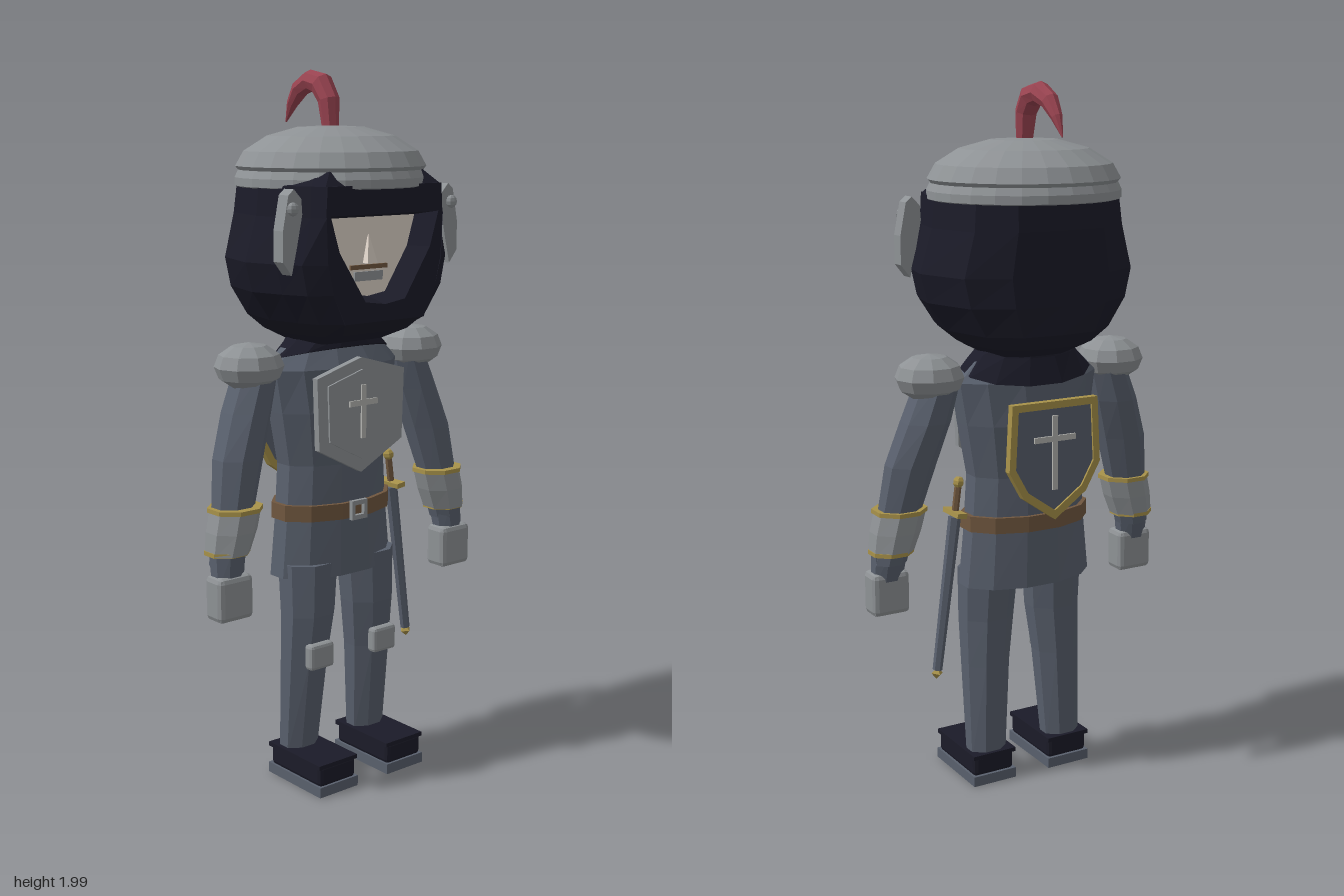
import * as THREE from 'three';
import { RoundedBoxGeometry } from 'three/addons/geometries/RoundedBoxGeometry.js';

const mat = (name, color, side = THREE.FrontSide) => {
  const m = new THREE.MeshStandardMaterial({ color, side, flatShading: true });
  m.name = name;
  return m;
};

// Skin a stack of equal-length rings ([x, y, z] points), optionally capped or with gaps
function loft(rings, { cap = true, skip = () => false } = {}) {
  const n = rings[0].length, pos = rings.flat(2), idx = [];
  for (let r = 0; r < rings.length - 1; r++) for (let i = 0; i < n; i++) {
    if (skip(r, i)) continue;
    const j = (i + 1) % n, a = r * n + i, b = r * n + j;
    idx.push(a, b, b + n, a, b + n, a + n);
  }
  if (cap) {
    const top = (rings.length - 1) * n;
    for (let i = 1; i < n - 1; i++) idx.push(0, i + 1, i, top, top + i, top + i + 1);
  }
  const g = new THREE.BufferGeometry();
  g.setAttribute('position', new THREE.Float32BufferAttribute(pos, 3));
  g.setIndex(idx);
  const flat = g.toNonIndexed();
  flat.computeVertexNormals();
  return flat;
}

// Stack of ellipses, bottom to top: [y, cx, cz, rx, rz, tilt]
function limb(rows, n = 8, opts) {
  return loft(rows.map(([y, cx, cz, rx, rz, tilt = 0]) => Array.from({ length: n }, (_, i) => {
    const a = (i + 0.5) / n * Math.PI * 2, z = rz * Math.cos(a);
    return [cx + rx * Math.sin(a), y + tilt * z, cz + z];
  })), opts);
}

// Flat outline given thickness, back face at z
function plate(points, depth, z, hole) {
  const shape = new THREE.Shape(points.map(p => new THREE.Vector2(...p)));
  if (hole) shape.holes.push(new THREE.Path(hole.map(p => new THREE.Vector2(...p))));
  return new THREE.ExtrudeGeometry(shape, { depth, bevelEnabled: false }).translate(0, 0, z);
}
const mirrored = half => [...half, ...half.filter(p => p[0] > 0.001).reverse().map(([x, y]) => [-x, y])];
const scaled = (pts, k, cy) => pts.map(([x, y]) => [x * k, cy + (y - cy) * k]);

export function createModel() {
  const steel = mat('steel', 0x8e9295), cloth = mat('blue grey armour', 0x59606d);
  const dark = mat('black cloth', 0x1b1b28, THREE.DoubleSide), red = mat('plume red', 0x9a4451);
  const gold = mat('gold', 0xa8924a), leather = mat('leather', 0x70573f);
  const skin = mat('skin', 0xe0d5ca), pale = mat('pale steel', 0xb4b4b0);
  const root = new THREE.Group();
  root.name = 'knight';
  const add = (name, geo, material, x = 0, y = 0, z = 0) => {
    const m = new THREE.Mesh(geo, material);
    m.name = name;
    m.position.set(x, y, z);
    root.add(m);
    return m;
  };
  const box = (w, h, d) => new THREE.BoxGeometry(w, h, d);

  // Hood: rows of [y, front half width, width scale, depth scale, front z]
  const rows = [[1.27, 0.05, 0.4, 0.5, 0.1], [1.30, 0.1, 0.58, 0.8, 0.17], [1.34, 0.14, 0.74, 0.95, 0.225],
    [1.42, 0.18, 0.93, 1, 0.228], [1.5, 0.2, 1, 1, 0.23], [1.62, 0.205, 0.88, 1, 0.23],
    [1.7, 0.2, 0.85, 0.96, 0.22], [1.75, 0.15, 0.65, 0.8, 0.18]];
  const side = [[0.255, 0.19], [0.285, 0.12], [0.31, 0.02], [0.26, -0.14], [0.15, -0.2]];
  const hood = rows.map(([y, fx, sx, sz, fz]) => [[fx, y, fz],
    ...side.map(([x, z]) => [x * sx, y, z * sz]), [0, y, -0.21 * sz],
    ...side.slice().reverse().map(([x, z]) => [-x * sx, y, z * sz]), [-fx, y, fz]]);
  const last = hood[0].length - 1;
  add('hood', loft(hood, { skip: (r, i) => i === last && r >= 2 && r <= 5 }), dark);
  const rim = mirrored([[0, 1.385], [0.07, 1.395], [0.16, 1.53], [0.19, 1.625]]);
  const mask = mirrored(rows.slice(2, 7).map(r => [r[1], r[0]]));
  add('hoodFront', plate(mask, 0.008, 0.22, rim), dark);
  const ringAt = (k, z) => scaled(rim, k, 1.52).map(([x, y]) => [x, y, z]);
  add('faceOpening', loft([ringAt(1, 0.226), ringAt(0.88, 0.15)], { cap: false }), dark);

  // Face inside the opening
  add('face', plate(scaled(rim, 0.92, 1.52), 0.01, 0.145), skin);
  add('nose', new THREE.ConeGeometry(0.025, 0.08, 4).rotateY(Math.PI / 4), skin, 0, 1.53, 0.158);
  add('moustache', box(0.13, 0.012, 0.008), leather, 0, 1.48, 0.158);
  add('chinGuard', box(0.1, 0.025, 0.008), steel, 0, 1.455, 0.156);

  // Helmet
  const dome = [[0, 1.71], [0.262, 1.69], [0.27, 1.693], [0.27, 1.715], [0.26, 1.735], [0.268, 1.745],
    [0.245, 1.785], [0.18, 1.825], [0.095, 1.848], [0, 1.853]].map(p => new THREE.Vector2(...p));
  add('helmet', new THREE.LatheGeometry(dome, 24).scale(1, 1, 0.945), steel);

  // Plume: [y, z, radius] swept backwards
  const plume = [[1.83, 0, 0.022], [1.92, -0.01, 0.03], [1.962, -0.04, 0.033], [1.972, -0.085, 0.03],
    [1.95, -0.135, 0.025], [1.91, -0.17, 0.016], [1.86, -0.198, 0.002]];
  add('plume', loft(plume.map(([y, z, r], k) => {
    const p = plume[Math.max(k - 1, 0)], q = plume[Math.min(k + 1, plume.length - 1)];
    const l = Math.hypot(q[0] - p[0], q[1] - p[1]), ty = (q[0] - p[0]) / l, tz = (q[1] - p[1]) / l;
    return Array.from({ length: 8 }, (_, i) => {
      const a = i / 8 * Math.PI * 2, c = r * Math.cos(a);
      return [r * Math.sin(a), y - tz * c, z + ty * c];
    });
  })), red);

  // Body
  add('collar', limb([[1.225, 0, -0.01, 0.2, 0.115, 0.3], [1.275, 0, 0, 0.15, 0.105, 0.1],
    [1.31, 0, 0, 0.1, 0.1]], 12), dark);
  add('torso', limb([[0.61, 0, 0, 0.205, 0.112], [0.78, 0, 0, 0.188, 0.107], [0.93, 0, 0, 0.178, 0.107],
    [1.08, 0, 0, 0.205, 0.12], [1.2, 0, 0, 0.225, 0.11], [1.255, 0, 0, 0.17, 0.08]], 12), cloth);
  add('belt', limb([[0.775, 0, 0, 0.198, 0.119], [0.82, 0, 0, 0.198, 0.119]], 12), leather);
  add('buckle', plate(mirrored([[0.028, 0.77], [0.028, 0.825]]), 0.012, 0.115,
    mirrored([[0.016, 0.783], [0.016, 0.812]])), steel);

  // Breastplate with cross
  const chest = mirrored([[0, 0.907], [0.15, 0.985], [0.157, 1.185], [0, 1.23]]);
  add('breastplate', plate(chest, 0.02, 0.112), steel);
  add('breastplatePanel', plate(scaled(chest, 0.78, 1.08), 0.006, 0.132), steel);
  const cross = (name, y, z, w, h, up) => {
    add(name + 'Upright', box(0.016, h, 0.008), pale, 0, y, z);
    add(name + 'Bar', box(w, 0.016, 0.008), pale, 0, y + up, z);
  };
  cross('chestCross', 1.08, 0.139, 0.1, 0.15, 0.025);

  // Shield on the back
  const shield = mirrored([[0, 0.82], [0.1, 0.89], [0.145, 0.97], [0.135, 1.155]]);
  const inner = scaled(shield, 0.86, 1.01);
  add('shieldRim', plate(shield, 0.022, -0.172, inner), gold);
  add('shieldFace', plate(inner, 0.012, -0.166), cloth);
  add('shieldStrap', box(0.12, 0.05, 0.06), leather, 0, 1.03, -0.128);
  cross('shieldCross', 1.01, -0.168, 0.13, 0.21, 0.04);

  for (const s of [1, -1]) {
    const mirror = list => list.map(([y, x, ...rest]) => [y, x * s, ...rest]);

    // Cheek guard with rivet
    add('cheekGuard', plate([[0.245, 1.63], [0.248, 1.67], [0.272, 1.695], [0.29, 1.68], [0.308, 1.59],
      [0.308, 1.51], [0.28, 1.475], [0.262, 1.55]].map(([x, y]) => [x * s, y]), 0.04, 0.14), steel);
    add('rivet', new THREE.SphereGeometry(0.018, 8, 6).scale(1, 1, 0.7), steel, 0.28 * s, 1.645, 0.186);

    // Arm
    add('shoulderPad', new THREE.SphereGeometry(1, 10, 6).scale(0.098, 0.065, 0.09), steel, 0.292 * s, 1.22, 0.008);
    add('arm', limb(mirror([[0.7, 0.405, 0.05, 0.05, 0.045], [0.8, 0.385, 0.045, 0.058, 0.05],
      [0.98, 0.345, 0.025, 0.073, 0.065], [1.1, 0.305, 0.01, 0.07, 0.072], [1.22, 0.265, 0.005, 0.06, 0.068]])), cloth);
    add('cuff', limb(mirror([[0.73, 0.4, 0.047, 0.064, 0.06], [0.79, 0.385, 0.047, 0.073, 0.066],
      [0.85, 0.37, 0.045, 0.074, 0.066]])), steel);
    for (const [y, x, r] of [[0.728, 0.4, 0.065], [0.842, 0.372, 0.079]])
      add('cuffTrim', limb([[y, x * s, 0.046, r, r * 0.92], [y + 0.012, x * s, 0.046, r, r * 0.92]]), gold);
    add('wrist', limb(mirror([[0.64, 0.41, 0.06, 0.045, 0.035], [0.73, 0.403, 0.05, 0.052, 0.045]])), cloth);
    add('gauntlet', new RoundedBoxGeometry(0.112, 0.125, 0.075, 1, 0.015), steel, 0.407 * s, 0.612, 0.063);

    // Leg
    add('leg', limb(mirror([[0.08, 0.126, 0.005, 0.06, 0.045], [0.36, 0.118, 0.022, 0.072, 0.062],
      [0.5, 0.11, 0.03, 0.082, 0.072], [0.65, 0.105, 0.025, 0.09, 0.08]])), cloth);
    add('kneePad', new RoundedBoxGeometry(0.084, 0.075, 0.035, 1, 0.01), steel, 0.117 * s, 0.385, 0.09);
    add('boot', new RoundedBoxGeometry(0.13, 0.065, 0.225, 1, 0.012), dark, 0.125 * s, 0.065, 0.07);
    add('bootTop', box(0.138, 0.012, 0.23), dark, 0.125 * s, 0.094, 0.068);
    add('sole', box(0.138, 0.03, 0.236), cloth, 0.125 * s, 0.022, 0.069);
  }

  // Sword at the left hip, hanging slightly outwards
  const sword = new THREE.Group();
  sword.name = 'sword';
  const part = (name, geo, material, y) => {
    const m = new THREE.Mesh(geo, material);
    m.name = name;
    m.position.y = y;
    sword.add(m);
  };
  part('scabbard', new THREE.CylinderGeometry(0.018, 0.014, 0.45, 6), cloth, -0.225);
  part('scabbardTip', new THREE.OctahedronGeometry(0.018), gold, -0.46);
  part('guard', box(0.03, 0.014, 0.09), gold, 0.012);
  part('grip', new THREE.CylinderGeometry(0.01, 0.01, 0.08, 6), leather, 0.055);
  part('pommel', new THREE.SphereGeometry(0.017, 6, 5), gold, 0.1);
  sword.position.set(0.214, 0.81, 0.02);
  sword.rotation.z = 0.135;
  root.add(sword);
  return root;
}
